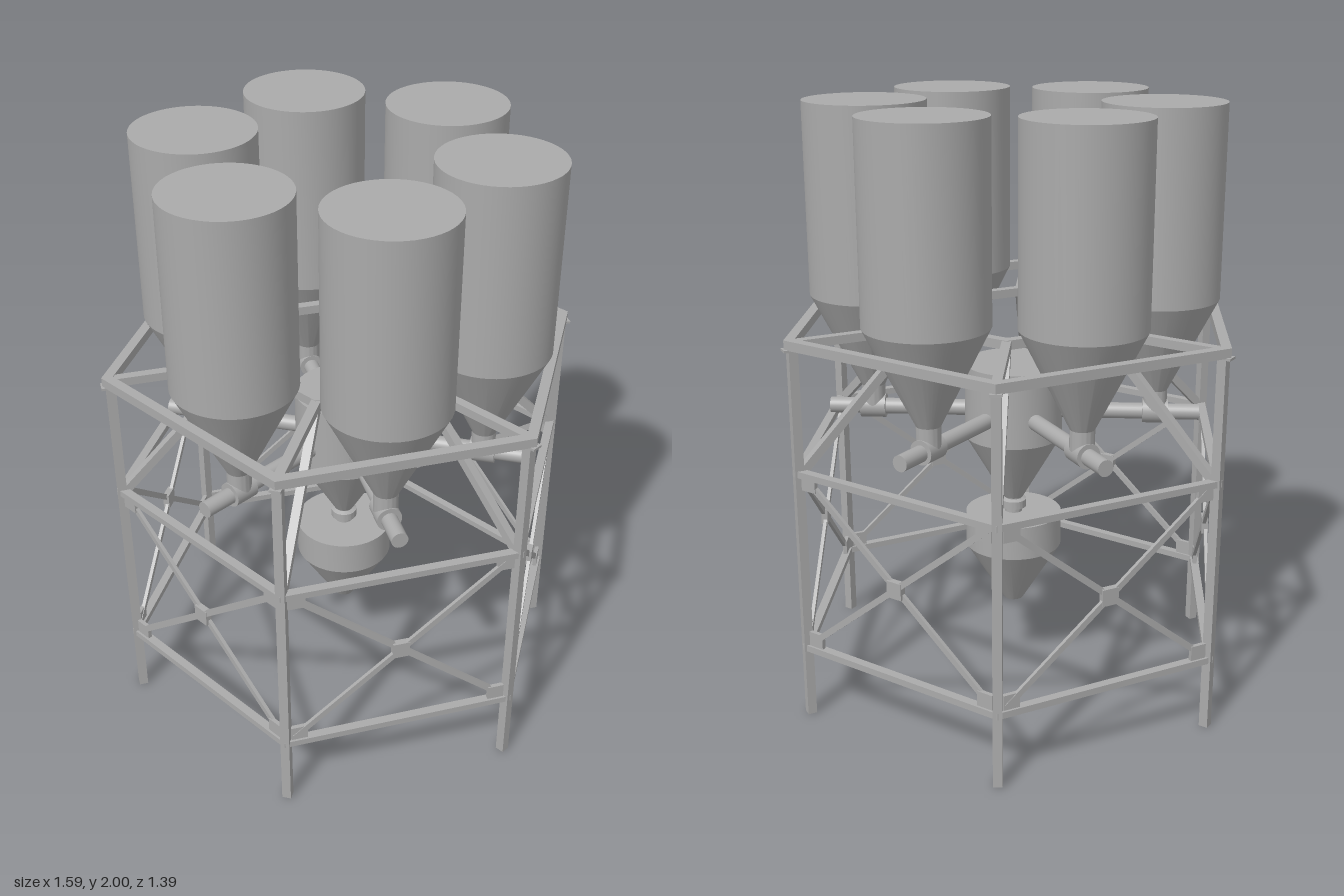
import * as THREE from 'three';
import { toCreasedNormals } from 'three/addons/utils/BufferGeometryUtils.js';

const steel = new THREE.MeshStandardMaterial({ color: 0xaaaaaa });
steel.name = 'grey steel';

const V = (x, y, z) => new THREE.Vector3(x, y, z);

function add(parent, name, geometry) {
  const mesh = new THREE.Mesh(geometry, steel);
  mesh.name = name;
  parent.add(mesh);
  return mesh;
}

// Turned part from [radius, height] pairs, listed bottom to top
function turned(parent, name, profile) {
  const points = profile.map(([r, y]) => new THREE.Vector2(r, y));
  return add(parent, name, toCreasedNormals(new THREE.LatheGeometry(points, 48), 0.3));
}

// Straight bar of rectangular section between two points
function bar(parent, name, a, b, w, h) {
  const mesh = new THREE.Mesh(new THREE.BoxGeometry(w, h, a.distanceTo(b)), steel);
  mesh.name = name;
  mesh.position.copy(a).add(b).multiplyScalar(0.5);
  mesh.lookAt(b);
  parent.add(mesh);
  return mesh;
}

// Round pipe along z
function pipe(parent, name, r, z0, z1, y) {
  const geo = new THREE.CylinderGeometry(r, r, z1 - z0, 28).rotateX(Math.PI / 2);
  add(parent, name, geo).position.set(0, y, (z0 + z1) / 2);
}

// Mitred hexagonal ring; apothems are measured to its flat sides
function hexRing(parent, name, outer, inner, y0, y1) {
  const corners = (apothem) => Array.from({ length: 6 }, (_, i) => {
    const r = apothem / Math.cos(Math.PI / 6), a = i * Math.PI / 3;
    return new THREE.Vector2(r * Math.cos(a), r * Math.sin(a));
  });
  const shape = new THREE.Shape(corners(outer));
  shape.holes.push(new THREE.Path(corners(inner).reverse()));
  const geo = new THREE.ExtrudeGeometry(shape, { depth: y1 - y0, bevelEnabled: false });
  add(parent, name, geo.rotateX(-Math.PI / 2)).position.y = y0;
}

// Post with its radial top beam and sloping strut, built along +x
function makePostFrame() {
  const g = new THREE.Group();
  g.name = 'postFrame';
  add(g, 'post', new THREE.BoxGeometry(0.03, 1.28, 0.03)).position.set(0.765, 0.64, 0);
  bar(g, 'radialBeam', V(0.33, 1.294, 0), V(0.77, 1.294, 0), 0.03, 0.028);
  add(g, 'postCap', new THREE.BoxGeometry(0.06, 0.008, 0.036)).position.set(0.765, 1.278, 0);
  bar(g, 'slopingStrut', V(0.35, 1.285, 0), V(0.757, 0.868, 0), 0.028, 0.028);
  return g;
}

// Cross bracing of one wall, built facing +z
function makeBracing() {
  const g = new THREE.Group();
  g.name = 'crossBracing';
  const z = 0.6625, x = 0.355, low = 0.27, high = 0.855, mid = (low + high) / 2;
  for (const s of [-1, 1]) {
    bar(g, 'brace', V(-s * x, low, z + s * 0.003), V(s * x, high, z + s * 0.003), 0.012, 0.02);
    for (const y of [low + 0.015, high - 0.015]) {
      add(g, 'cornerPlate', new THREE.BoxGeometry(0.055, 0.05, 0.014)).position.set(s * 0.338, y, z);
    }
  }
  add(g, 'centrePlate', new THREE.BoxGeometry(0.056, 0.056, 0.022)).position.set(0, mid, z);
  return g;
}

// Silo with its outlet and conveyor pipe, standing on +z
function makeSilo() {
  const g = new THREE.Group();
  g.name = 'siloUnit';
  turned(g, 'silo', [[0, 0.975], [0.04, 0.975], [0.04, 1.05], [0.2, 1.37], [0.2, 2], [0, 2]])
    .position.z = 0.477;
  pipe(g, 'conveyorPipe', 0.027, 0.12, 0.625, 0.97);
  pipe(g, 'pipeCollar', 0.041, 0.435, 0.52, 0.972);
  return g;
}

export function createModel() {
  const model = new THREE.Group();
  model.name = 'siloPlant';

  // Horizontal rings of the frame
  hexRing(model, 'topRing', 0.685, 0.653, 1.28, 1.311);
  hexRing(model, 'innerTopRing', 0.308, 0.276, 1.28, 1.31);
  hexRing(model, 'middleRing', 0.677, 0.648, 0.857, 0.879);
  hexRing(model, 'lowerRing', 0.677, 0.648, 0.238, 0.26);

  // Six identical sectors
  for (let i = 0; i < 6; i++) {
    for (const make of [makePostFrame, makeBracing, makeSilo]) {
      const part = make();
      part.rotation.y = i * Math.PI / 3;
      model.add(part);
    }
  }

  // Central hopper, outlet valve and receiving hopper
  turned(model, 'mixingHopper', [[0, 0.65], [0.033, 0.65], [0.165, 0.88], [0.165, 1.135], [0, 1.135]]);
  turned(model, 'outletValve', [
    [0, 0.59], [0.03, 0.59], [0.03, 0.607], [0.044, 0.613], [0.044, 0.64],
    [0.03, 0.646], [0.03, 0.665], [0, 0.665],
  ]);
  turned(model, 'receivingHopper', [[0, 0.265], [0.034, 0.265], [0.165, 0.48], [0.165, 0.596], [0, 0.596]]);

  return model;
}
